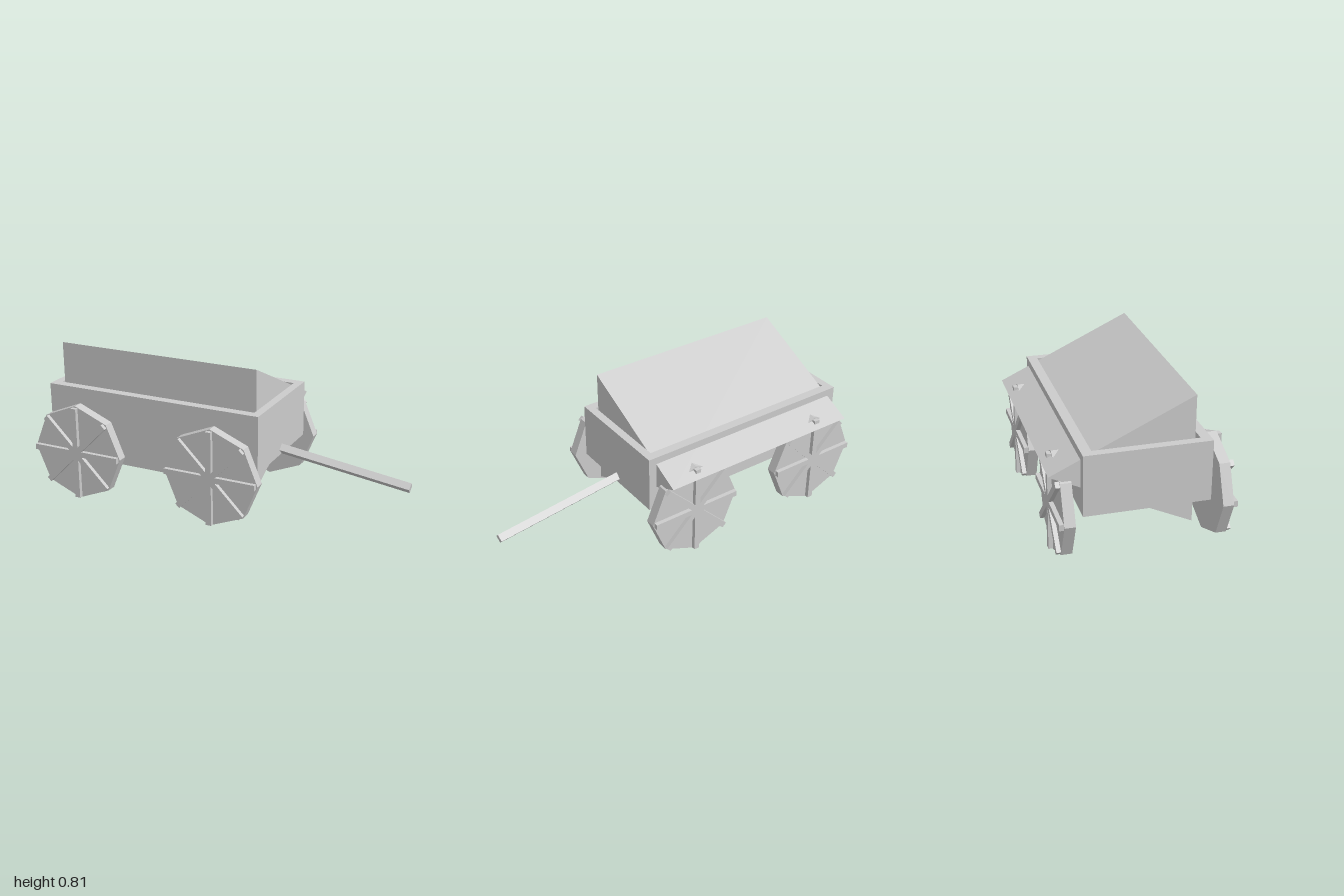
import * as THREE from 'three';

const grey = new THREE.MeshStandardMaterial({ color: 0xcccccc, flatShading: true });
grey.name = 'plain grey';

function add(parent, name, geometry, x = 0, y = 0, z = 0) {
  const mesh = new THREE.Mesh(geometry, grey);
  mesh.name = name;
  mesh.position.set(x, y, z);
  parent.add(mesh);
  return mesh;
}

// Octagonal wheel facing +z, with raised spokes on its outer side
function makeWheel(name) {
  const wheel = new THREE.Group();
  wheel.name = name;
  const disc = new THREE.CylinderGeometry(0.265, 0.265, 0.054, 8).rotateX(Math.PI / 2);
  add(wheel, 'disc', disc);
  for (let i = 0; i < 4; i++) {
    const spoke = add(wheel, 'spoke', new THREE.BoxGeometry(0.512, 0.031, 0.022), 0, 0, 0.038);
    spoke.rotation.z = i * Math.PI / 4;
  }
  return wheel;
}

export function createModel() {
  const cart = new THREE.Group();
  cart.name = 'cart';

  // Open box: rectangular wall ring plus floor
  const body = new THREE.Group();
  body.name = 'body';
  body.position.set(-0.337, 0.29, 0.015);
  cart.add(body);
  const ring = new THREE.Shape();
  ring.moveTo(-0.62, -0.31).lineTo(0.62, -0.31).lineTo(0.62, 0.31).lineTo(-0.62, 0.31).closePath();
  const hole = new THREE.Path();
  hole.moveTo(-0.577, -0.26).lineTo(-0.577, 0.26).lineTo(0.577, 0.26).lineTo(0.577, -0.26).closePath();
  ring.holes.push(hole);
  add(body, 'walls', new THREE.ExtrudeGeometry(ring, { depth: 0.31, bevelEnabled: false }).rotateX(-Math.PI / 2));
  add(body, 'floor', new THREE.BoxGeometry(1.16, 0.05, 0.53), 0, 0.025, 0);

  // Triangular load lying through the box
  const wedge = new THREE.Shape();
  wedge.moveTo(-0.25, 0.818).lineTo(-0.25, 0.162).lineTo(0.445, 0.49).closePath();
  const load = new THREE.ExtrudeGeometry(wedge, { depth: 1.152, bevelEnabled: false });
  load.rotateY(Math.PI / 2);
  add(cart, 'load', load, -0.912, 0, 0);

  // Four wheels, spokes facing outwards
  for (const x of [-0.735, 0.063]) {
    const end = x < 0 ? 'right' : 'left';
    const front = makeWheel(end + 'FrontWheel');
    front.position.set(x, 0.268, 0.399);
    const back = makeWheel(end + 'BackWheel');
    back.position.set(x, 0.268, -0.366);
    back.rotation.y = Math.PI;
    cart.add(front, back);
  }

  // Square pole, turned on edge and sloping down
  const from = new THREE.Vector3(0.2, 0.33, 0.014);
  const to = new THREE.Vector3(0.993, 0.225, 0.014);
  const along = to.clone().sub(from);
  const pole = add(cart, 'pole', new THREE.CylinderGeometry(0.028, 0.028, along.length(), 4));
  pole.position.copy(from).add(to).multiplyScalar(0.5);
  pole.quaternion.setFromUnitVectors(new THREE.Vector3(0, 1, 0), along.normalize());

  return cart;
}
